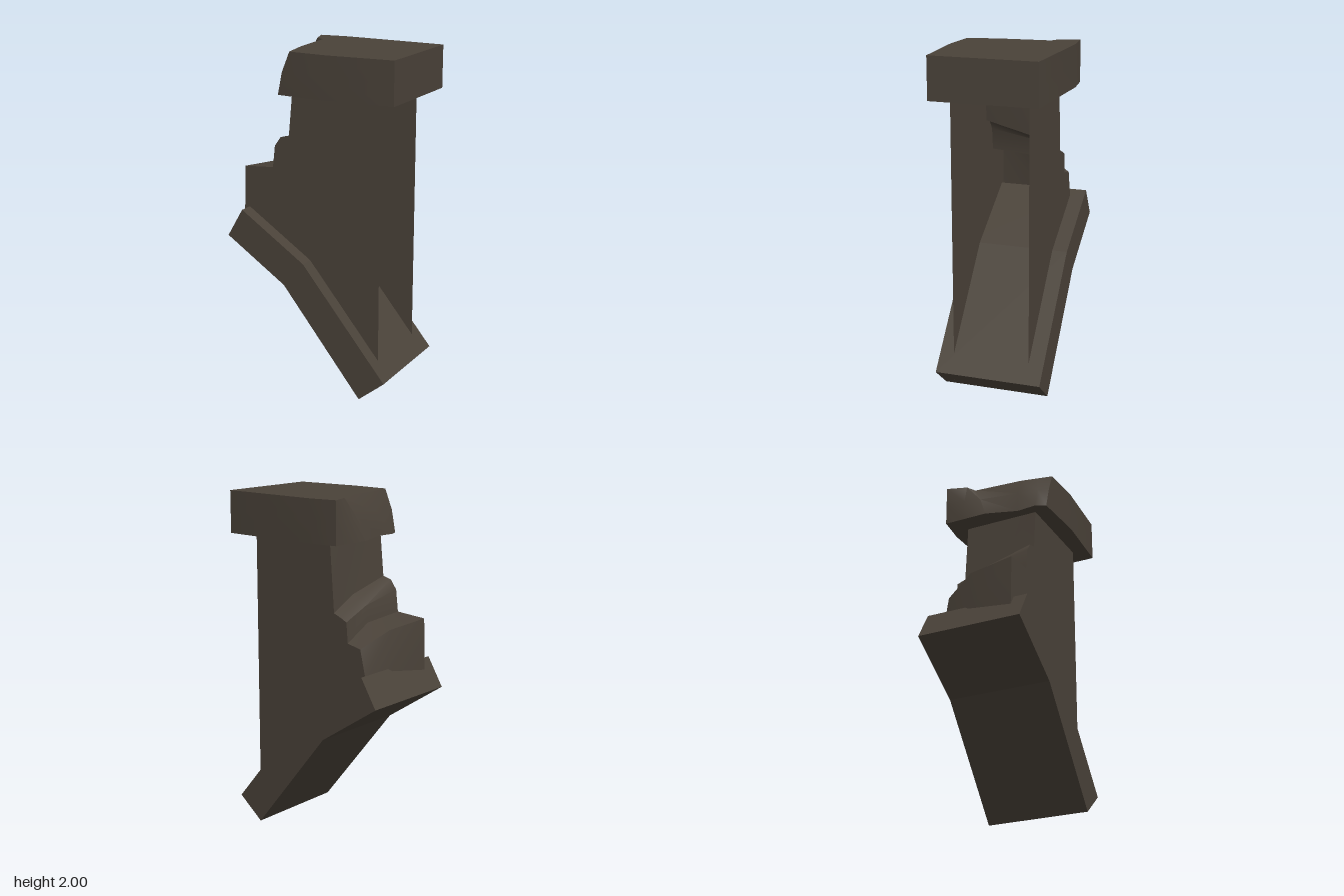
import * as THREE from 'three';
import { toCreasedNormals } from 'three/addons/utils/BufferGeometryUtils.js';

const stone = new THREE.MeshStandardMaterial({ color: 0x4a4239, side: THREE.DoubleSide });
stone.name = 'dark stone';

const toShape = (pts) => new THREE.Shape(pts.map(([x, y]) => new THREE.Vector2(x, y)));

// Skin a surface over equally long rows of [x, y, z] points
function skin(rows) {
  const n = rows[0].length;
  const index = [];
  for (let r = 0; r < rows.length - 1; r++) {
    for (let i = 0; i < n - 1; i++) {
      const a = r * n + i, b = a + 1, d = a + n, c = d + 1;
      index.push(a, b, d, b, c, d);
    }
  }
  const geo = new THREE.BufferGeometry();
  geo.setAttribute('position', new THREE.Float32BufferAttribute(rows.flat(2), 3));
  geo.setIndex(index);
  return toCreasedNormals(geo, 0.8);
}

export function createModel() {
  const group = new THREE.Group();
  const add = (name, geo, parent = group) => {
    const mesh = new THREE.Mesh(geo, stone);
    mesh.name = name;
    parent.add(mesh);
    return mesh;
  };

  // Bent sloping base band
  const band = new THREE.ExtrudeGeometry(toShape([
    [-0.54, 0.87], [-0.16, 0.62], [0.34, 0], [0.5, 0.13], [-0.03, 0.77], [-0.44, 1.04],
  ]), { depth: 0.635, bevelEnabled: false });
  band.translate(0, 0, -0.32);
  add('slopingBase', band);

  // Column: two walls joined by a stepped broken face, open on the +x side
  const column = new THREE.Group();
  column.name = 'column';
  group.add(column);
  const breaks = [
    { z: -0.23, pts: [[-0.14, 1.76], [-0.17, 1.35], [-0.22, 1.33], [-0.26, 1.31],
      [-0.27, 1.19], [-0.36, 1.17], [-0.395, 1.02], [-0.4, 0.92]] },
    { z: -0.05, pts: [[-0.14, 1.76], [-0.16, 1.43], [-0.21, 1.41], [-0.26, 1.38],
      [-0.27, 1.28], [-0.43, 1.26], [-0.45, 1.02], [-0.45, 0.92]] },
    { z: 0.23, pts: [[-0.14, 1.76], [-0.165, 1.5], [-0.22, 1.485], [-0.26, 1.43],
      [-0.275, 1.3], [-0.465, 1.285], [-0.475, 0.98], [-0.475, 0.9]] },
  ];
  add('brokenFace', skin(breaks.map(({ z, pts }) => pts.map(([x, y]) => [x, y, z]))), column);
  const wall = (name, { z, pts }) => {
    const mesh = add(name, new THREE.ShapeGeometry(toShape(
      [...pts, [-0.1, 0.68], [0.42, 0.05], [0.42, 1.76]])), column);
    mesh.position.z = z;
    if (z < 0) {
      // face the back wall outward
      const ids = mesh.geometry.index.array;
      ids.reverse();
      mesh.geometry.computeVertexNormals();
    }
  };
  wall('backWall', breaks[0]);
  wall('frontWall', breaks[2]);

  // Cap slab with a chipped end, as [x, z] outlines at three heights
  const cap = new THREE.Group();
  cap.name = 'cap';
  group.add(cap);
  const outline = (chip) => [[0.54, 0.315], [0.54, -0.32], [-0.09, -0.34], ...chip, [0.14, 0.34]];
  const low = outline([[-0.26, -0.32], [-0.26, -0.2], [-0.26, -0.05], [-0.2, 0.14], [-0.21, 0.26], [-0.18, 0.32]]);
  const mid = outline([[-0.26, -0.32], [-0.25, -0.2], [-0.23, -0.1], [-0.19, 0.14], [-0.17, 0.26], [-0.15, 0.325]]);
  const high = outline([[-0.26, -0.32], [-0.22, -0.2], [-0.165, -0.17], [-0.14, 0.13], [-0.12, 0.23], [-0.1, 0.325]]);
  const ring = (pts, y) => [...pts, pts[0]].map(([x, z]) => [x, y, z]);
  add('capSides', skin([ring(low, 1.75), ring(mid, 1.88), ring(high, 2)]), cap);
  const top = new THREE.ShapeGeometry(toShape(high.map(([x, z]) => [x, -z])));
  add('capTop', top.rotateX(-Math.PI / 2).translate(0, 2, 0), cap);
  const under = new THREE.ShapeGeometry(toShape(low));
  add('capUnderside', under.rotateX(Math.PI / 2).translate(0, 1.75, 0), cap);

  return group;
}
